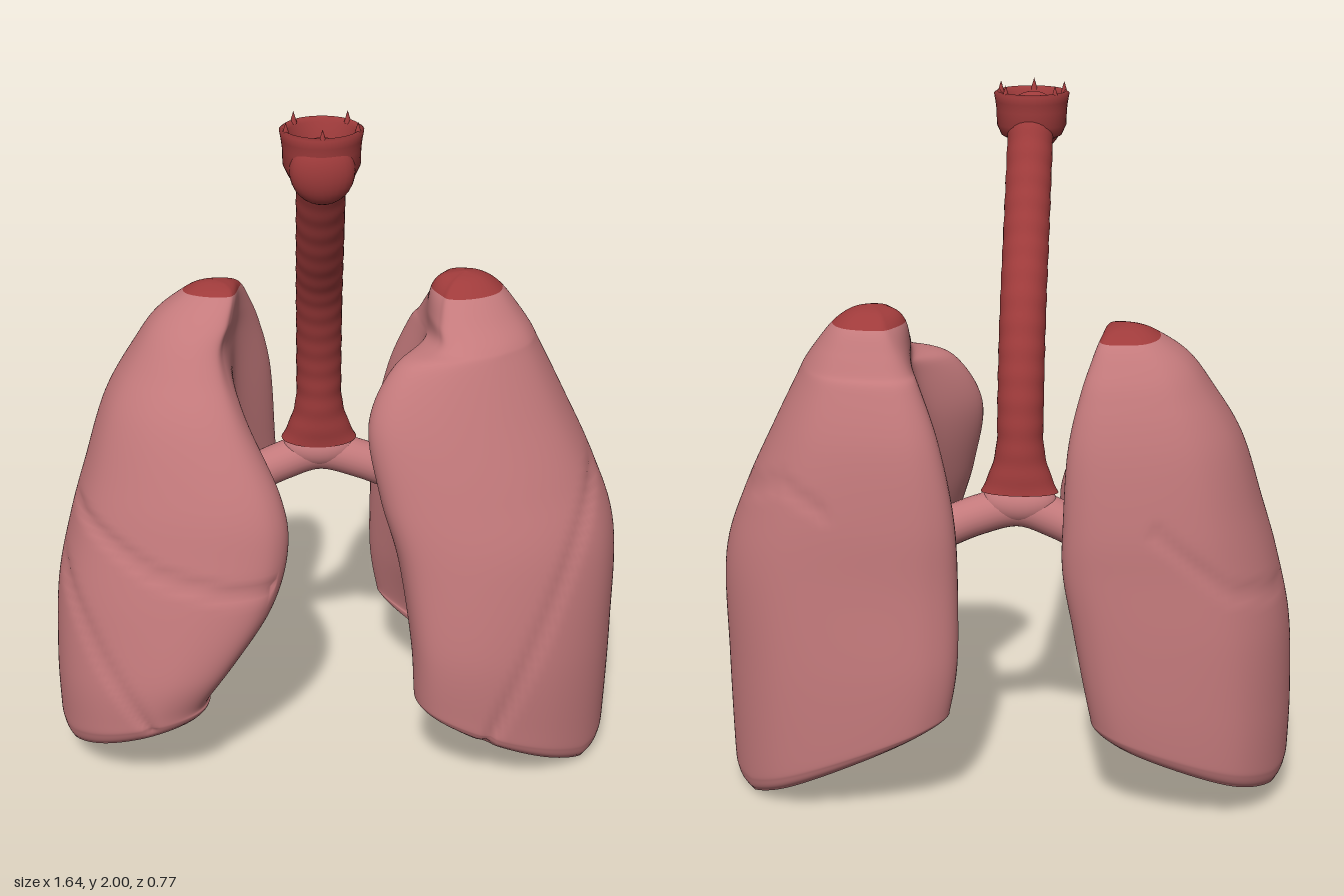
import * as THREE from 'three';

const V = (x, y, z) => new THREE.Vector3(x, y, z);
const mat = (name, color) => {
  const m = new THREE.MeshStandardMaterial({ color });
  m.name = name;
  return m;
};

const AROUND = 150, SUB = 8;

// Section outline: [how far from inner to outer edge, how far from middle to front (+) or back (-)]
const OUTLINE = [
  [1, 0], [0.92, 0.47], [0.68, 0.82], [0.32, 1], [0.07, 0.93], [0, 0.72],
  null, // hollow facing the airway
  [0, -0.78], [0.1, -0.96], [0.38, -1], [0.74, -0.85], [0.94, -0.48],
];

// Lung levels, top down: y, outer x, front inner x, hollow x, back inner x, front z, back z
const LEFT = {
  side: 1, base: 0, slope: 0.5, low: 0.73, frontLift: 0, tilt: 0,
  rows: [
    [1.45, 0.37, 0.37, 0.37, 0.37, -0.1, -0.1],
    [1.437, 0.425, 0.33, 0.305, 0.33, -0.05, -0.155],
    [1.402, 0.475, 0.3, 0.275, 0.305, 0.0, -0.205],
    [1.34, 0.525, 0.285, 0.265, 0.275, 0.06, -0.24],
    [1.29, 0.56, 0.275, 0.265, 0.25, 0.115, -0.265],
    [1.25, 0.58, 0.165, 0.255, 0.225, 0.158, -0.29],
    [1.1, 0.655, 0.09, 0.225, 0.17, 0.225, -0.335],
    [0.9, 0.75, 0.12, 0.215, 0.13, 0.285, -0.358],
    [0.7, 0.815, 0.175, 0.22, 0.12, 0.33, -0.365],
    [0.4, 0.82, 0.21, 0.28, 0.12, 0.365, -0.38],
    [0.11, 0.817, 0.22, 0.38, 0.14, 0.36, -0.38],
  ],
  frontFissures: [[[0.74, 0.92], [0.58, 0.53], [0.42, 0.16]]],
  backFissures: [[[0.75, 0.92], [0.6, 0.99], [0.48, 0.93]]],
};
const RIGHT = {
  side: -1, base: 0.07, slope: 0.38, low: 0.77, frontLift: 0.1, tilt: 0.1,
  rows: [
    [1.42, 0.335, 0.335, 0.335, 0.335, -0.135, -0.135],
    [1.413, 0.375, 0.295, 0.285, 0.29, -0.1, -0.175],
    [1.39, 0.42, 0.275, 0.265, 0.26, -0.05, -0.22],
    [1.33, 0.5, 0.285, 0.265, 0.235, 0.02, -0.26],
    [1.25, 0.56, 0.305, 0.275, 0.21, 0.085, -0.295],
    [1.1, 0.65, 0.25, 0.28, 0.18, 0.185, -0.335],
    [0.9, 0.715, 0.155, 0.275, 0.17, 0.275, -0.36],
    [0.75, 0.76, 0.135, 0.275, 0.17, 0.315, -0.365],
    [0.55, 0.805, 0.18, 0.3, 0.2, 0.35, -0.37],
    [0.32, 0.82, 0.285, 0.36, 0.23, 0.37, -0.37],
    [0.16, 0.82, 0.36, 0.43, 0.25, 0.36, -0.365],
  ],
  frontFissures: [
    [[-0.76, 0.84], [-0.5, 0.71], [-0.3, 0.67], [-0.15, 0.67]],
    [[-0.8, 0.68], [-0.67, 0.44], [-0.53, 0.24]],
  ],
  backFissures: [[[-0.8, 0.67], [-0.62, 0.72], [-0.42, 0.9]]],
};

function spline(a, b, c, d, t) {
  const u = (c - a) / 2, v = (d - b) / 2;
  return b + u * t + (3 * (c - b) - 2 * u - v) * t * t + (2 * (b - c) + u + v) * t * t * t;
}

function section([, xo, xf, xm, xb, zf, zb]) {
  const mid = (zf + zb) / 2, half = (zf - zb) / 2;
  const pts = OUTLINE.map((p) => {
    if (!p) return V(xm, 0, mid);
    const inner = p[1] >= 0 ? xf : xb;
    return V(inner + (xo - inner) * p[0], 0, mid + half * p[1]);
  });
  return new THREE.CatmullRomCurve3(pts, true);
}

function lineDistance(x, y, line) {
  let best = 9;
  for (let i = 0; i < line.length - 1; i++) {
    const [ax, ay] = line[i], dx = line[i + 1][0] - ax, dy = line[i + 1][1] - ay;
    const t = THREE.MathUtils.clamp(((x - ax) * dx + (y - ay) * dy) / (dx * dx + dy * dy), 0, 1);
    best = Math.min(best, Math.hypot(x - ax - t * dx, y - ay - t * dy));
  }
  return best;
}

function lungGeometry({ side, base, slope, low, frontLift, tilt, rows, frontFissures, backFissures }) {
  // Rounded lower rim and domed underside, shrinking towards the middle
  const last = rows[rows.length - 1];
  const under = [[0.045, 0.985], [0.012, 0.94], [0, 0.86], [0.035, 0.5], [0.055, 0]];
  const all = [...rows.map((r) => [...r, 1]), ...under.map(([y, s]) => [y + base, ...last.slice(1), s])];
  const pos = [], index = [];
  const steps = (all.length - 1) * SUB;
  for (let r = 0; r <= steps; r++) {
    const k = Math.min(Math.floor(r / SUB), all.length - 2), t = r / SUB - k;
    const at = (i) => all[THREE.MathUtils.clamp(i, 0, all.length - 1)];
    const row = all[0].map((_, j) => spline(at(k - 1)[j], at(k)[j], at(k + 1)[j], at(k + 2)[j], t));
    const curve = section(row), s = Math.max(row[7], 0);
    const cx = (row[1] + row[2]) / 2, cz = (row[5] + row[6]) / 2;
    for (let i = 0; i < AROUND; i++) {
      const p = curve.getPoint(i / AROUND);
      const x = cx + (p.x - cx) * s, z = cz + (p.z - cz) * s;
      // The underside rises towards the chest middle, most of all below the hollow
      const w = Math.max(0, 1 - Math.max(0, row[0] - base) / 0.8) ** 2;
      const inward = Math.max(0, low - x);
      const lift = inward * (slope + 0.08 * Math.exp(-((z / 0.18) ** 2))) + frontLift * Math.max(0, z) + 0.1 * z * z;
      const lean = tilt * (z + 0.13) * Math.max(0, (row[0] - 1.2) / 0.2);
      pos.push(side * x, Math.max(0, row[0] + lift * w + lean), z);
    }
  }
  for (let r = 0; r < steps; r++) for (let i = 0; i < AROUND; i++) {
    const a = r * AROUND + i, b = r * AROUND + (i + 1) % AROUND, c = a + AROUND, d = b + AROUND;
    if (side > 0) index.push(a, b, c, b, d, c);
    else index.push(a, c, b, b, c, d);
  }
  const g = new THREE.BufferGeometry();
  g.setAttribute('position', new THREE.Float32BufferAttribute(pos, 3));
  g.setIndex(index);
  g.computeVertexNormals();
  // Press the fissures into the surface
  const P = g.attributes.position, N = g.attributes.normal;
  const groove = (lines, x, y) => Math.exp(-((Math.min(...lines.map((l) => lineDistance(x, y, l))) / 0.016) ** 2));
  for (let i = 0; i < P.count; i++) {
    if (N.getX(i) * side < -0.7) continue;
    const x = P.getX(i), y = P.getY(i), nz = N.getZ(i);
    const push = -0.01 * THREE.MathUtils.smoothstep(nz, 0, 0.35) * groove(frontFissures, x, y)
      - 0.007 * THREE.MathUtils.smoothstep(-nz, 0, 0.35) * groove(backFissures, x, y);
    P.setXYZ(i, x + N.getX(i) * push, y + N.getY(i) * push, P.getZ(i) + nz * push);
  }
  g.computeVertexNormals();
  const cap = 2 * SUB * AROUND * 6;
  g.addGroup(0, cap, 0);
  g.addGroup(cap, index.length - cap, 1);
  return g;
}

export function createModel() {
  const model = new THREE.Group();
  const pink = mat('lung pink', 0xc47a7c);
  const red = mat('airway red', 0x9f3b3b);
  red.side = THREE.DoubleSide;
  const add = (name, geo, m, parent = model) => {
    const mesh = new THREE.Mesh(geo, m);
    mesh.name = name;
    parent.add(mesh);
    return mesh;
  };

  add('leftLung', lungGeometry(LEFT), [red, pink]);
  add('rightLung', lungGeometry(RIGHT), [red, pink]);

  // Windpipe with faint cartilage rings, flaring sideways at the foot
  const X = -0.04;
  const path = new THREE.CatmullRomCurve3([
    V(X, 1.88, 0.235), V(X, 1.77, 0.175), V(X, 1.6, 0.078), V(X, 1.42, -0.028), V(X, 1.2, -0.1), V(X, 0.93, -0.13),
  ]);
  const pipe = new THREE.TubeGeometry(path, 140, 0.064, 28);
  const P = pipe.attributes.position;
  for (let i = 0; i < P.count; i++) {
    const t = Math.floor(i / 29) / 140, c = path.getPointAt(t), p = V(0, 0, 0).fromBufferAttribute(P, i);
    p.sub(c).multiplyScalar(1 + 0.012 * Math.sin(t * Math.PI * 30));
    p.x *= 1 + 0.7 * Math.max(0, (t - 0.84) / 0.16) ** 2;
    p.add(c);
    P.setXYZ(i, p.x, p.y, p.z);
  }
  pipe.computeVertexNormals();
  add('windpipe', pipe, red);

  // Fork into the two lungs
  const fork = new THREE.CatmullRomCurve3([
    V(-0.32, 0.76, -0.13), V(-0.15, 0.85, -0.13), V(X, 0.885, -0.13), V(0.08, 0.855, -0.13), V(0.28, 0.76, -0.14),
  ]);
  add('bronchi', new THREE.TubeGeometry(fork, 48, 0.056, 24), pink);
  const joint = add('bronchiJoint', new THREE.SphereGeometry(1, 28, 18), pink);
  joint.position.set(X, 0.9, -0.13);
  joint.scale.set(0.105, 0.062, 0.064);

  // Voice box: open cup with a front bulge, rim points and inner folds
  const larynx = new THREE.Group();
  larynx.name = 'voiceBox';
  larynx.position.set(X, 0, 0.274);
  model.add(larynx);
  const profile = [
    [0, 1.84], [0.06, 1.843], [0.085, 1.856], [0.098, 1.885], [0.099, 1.925], [0.102, 1.95], [0.106, 1.972],
    [0.097, 1.978], [0.087, 1.965], [0.078, 1.93], [0.07, 1.9], [0, 1.89],
  ].map(([x, y]) => new THREE.Vector2(x, y));
  add('cup', new THREE.LatheGeometry(profile, 40), red, larynx);
  const bulge = add('frontBulge', new THREE.SphereGeometry(1, 24, 16), red, larynx);
  bulge.position.set(0, 1.882, 0.058);
  bulge.scale.set(0.082, 0.086, 0.05);
  for (const a of [0.35, 1.57, 2.79, 3.9, 5.5]) {
    const point = add('rimPoint', new THREE.ConeGeometry(0.01, 0.032, 10), red, larynx);
    point.position.set(0.095 * Math.cos(a), 1.984, 0.095 * Math.sin(a));
  }
  for (const z of [-0.035, 0, 0.035]) {
    const fold = add('innerFold', new THREE.CapsuleGeometry(0.012, 0.08, 6, 12), red, larynx);
    fold.rotation.z = Math.PI / 2;
    fold.position.set(0, 1.9, z);
  }
  return model;
}
